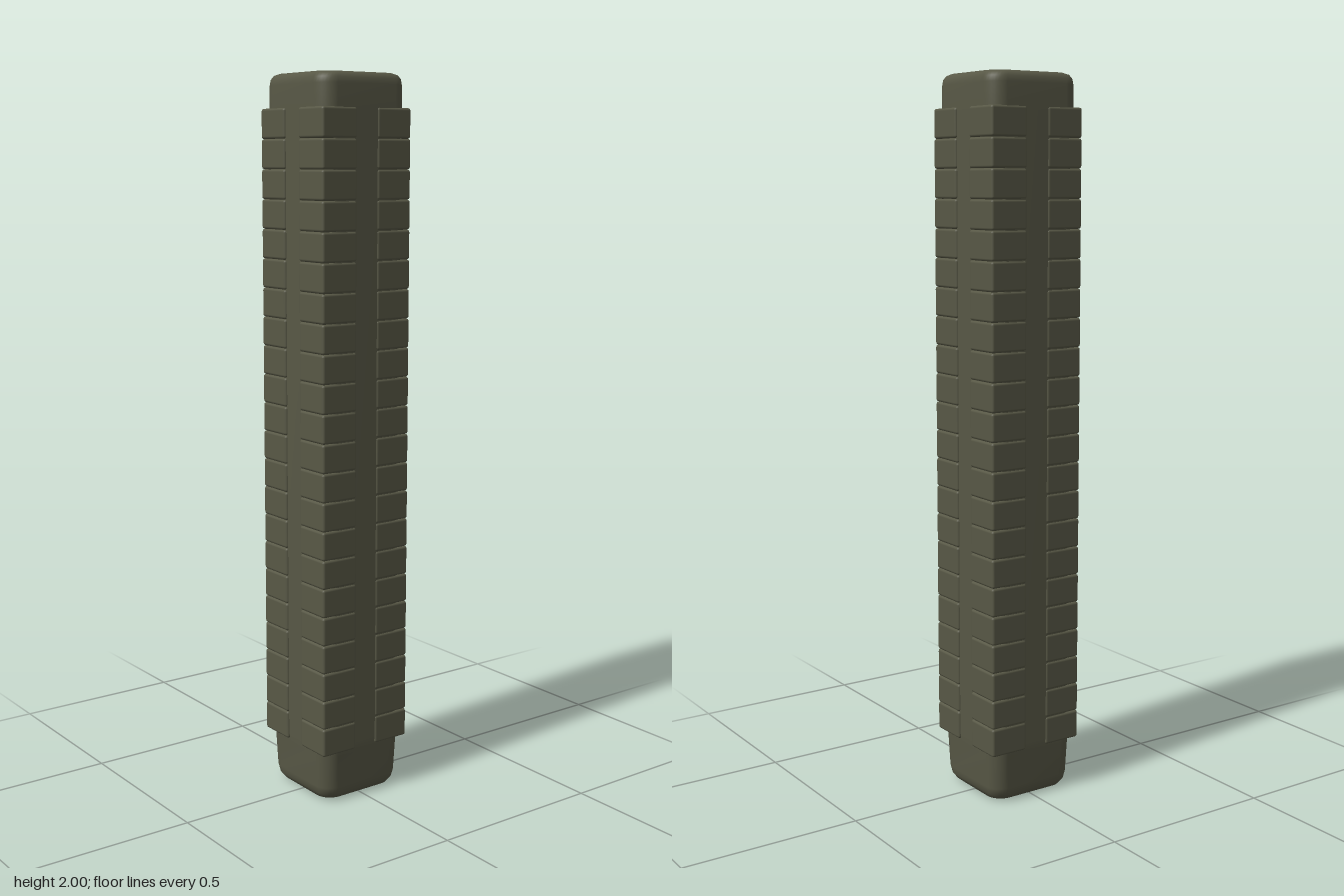
import * as THREE from 'three';
import { RoundedBoxGeometry } from 'three/addons/geometries/RoundedBoxGeometry.js';

// Points of a rounded square, counter-clockwise seen from above
function roundedSquare(half, radius, y, arc = 8) {
  const pts = [];
  const r = Math.min(radius, half), c = half - r;
  for (let q = 0; q < 4; q++) {
    const mid = (q + 0.5) * Math.PI / 2;
    const cx = Math.sign(Math.cos(mid)) * c, cz = -Math.sign(Math.sin(mid)) * c;
    for (let i = 0; i <= arc; i++) {
      const a = (q + i / arc) * Math.PI / 2;
      pts.push(cx + r * Math.cos(a), y, cz - r * Math.sin(a));
    }
  }
  return pts;
}

// Smooth skin through a stack of rounded squares [y, half width, corner radius]
function loft(rings) {
  const pos = rings.flatMap(([y, half, radius]) => roundedSquare(half, radius, y));
  const n = pos.length / 3 / rings.length;
  const index = [];
  for (let i = 0; i < rings.length - 1; i++) {
    for (let j = 0; j < n; j++) {
      const k = (j + 1) % n;
      const a = i * n + j, b = i * n + k, c = a + n, d = b + n;
      index.push(a, b, d, a, d, c);
    }
  }
  const g = new THREE.BufferGeometry();
  g.setAttribute('position', new THREE.Float32BufferAttribute(pos, 3));
  g.setIndex(index);
  g.computeVertexNormals();
  return g;
}

export function createModel() {
  const model = new THREE.Group();
  const olive = new THREE.MeshStandardMaterial({ color: 0x585846 });
  olive.name = 'olive drab';
  const black = new THREE.MeshStandardMaterial({ color: 0x0b0b0b });
  black.name = 'bore black';

  // Square core: dimpled base, straight sides, softened top rim around the bore
  const core = new THREE.Mesh(loft([
    [0.02, 0.001, 0.001], [0.02, 0.055, 0.03], [0.008, 0.075, 0.035],
    [0.004, 0.1, 0.04], [0.01, 0.119, 0.045], [0.024, 0.128, 0.045],
    [0.045, 0.132, 0.045], [0.14, 0.136, 0.045], [0.17, 0.14, 0.045],
    [1.9, 0.14, 0.045], [1.97, 0.139, 0.045], [1.985, 0.137, 0.045],
    [1.995, 0.131, 0.045], [2.0, 0.12, 0.045], [2.0, 0.1, 0.045],
    [1.998, 0.07, 0.052], [1.994, 0.062, 0.05],
  ]), olive);
  core.name = 'core';
  model.add(core);

  // Dark bore sunk into the top
  const bore = new THREE.Mesh(loft([
    [1.994, 0.062, 0.05], [1.97, 0.06, 0.05], [1.7, 0.06, 0.05],
    [1.69, 0.055, 0.05], [1.69, 0.001, 0.001],
  ]), black);
  bore.name = 'bore';
  model.add(bore);

  // Ribbed strips on the four corners, leaving a groove along each face
  const ribs = 22, bottom = 0.15, top = 1.91, pitch = (top - bottom) / ribs;
  const ribGeometry = new RoundedBoxGeometry(0.111, pitch, 0.112, 2, 0.007);
  for (const sx of [-1, 1]) {
    for (const sz of [-1, 1]) {
      const strip = new THREE.Group();
      strip.name = (sz > 0 ? 'front' : 'back') + (sx > 0 ? 'Left' : 'Right') + 'RibbedStrip';
      for (let i = 0; i < ribs; i++) {
        const rib = new THREE.Mesh(ribGeometry, olive);
        rib.name = 'rib';
        rib.position.set(sx * 0.0875, bottom + (i + 0.5) * pitch, sz * 0.0895);
        strip.add(rib);
      }
      model.add(strip);
    }
  }
  return model;
}
